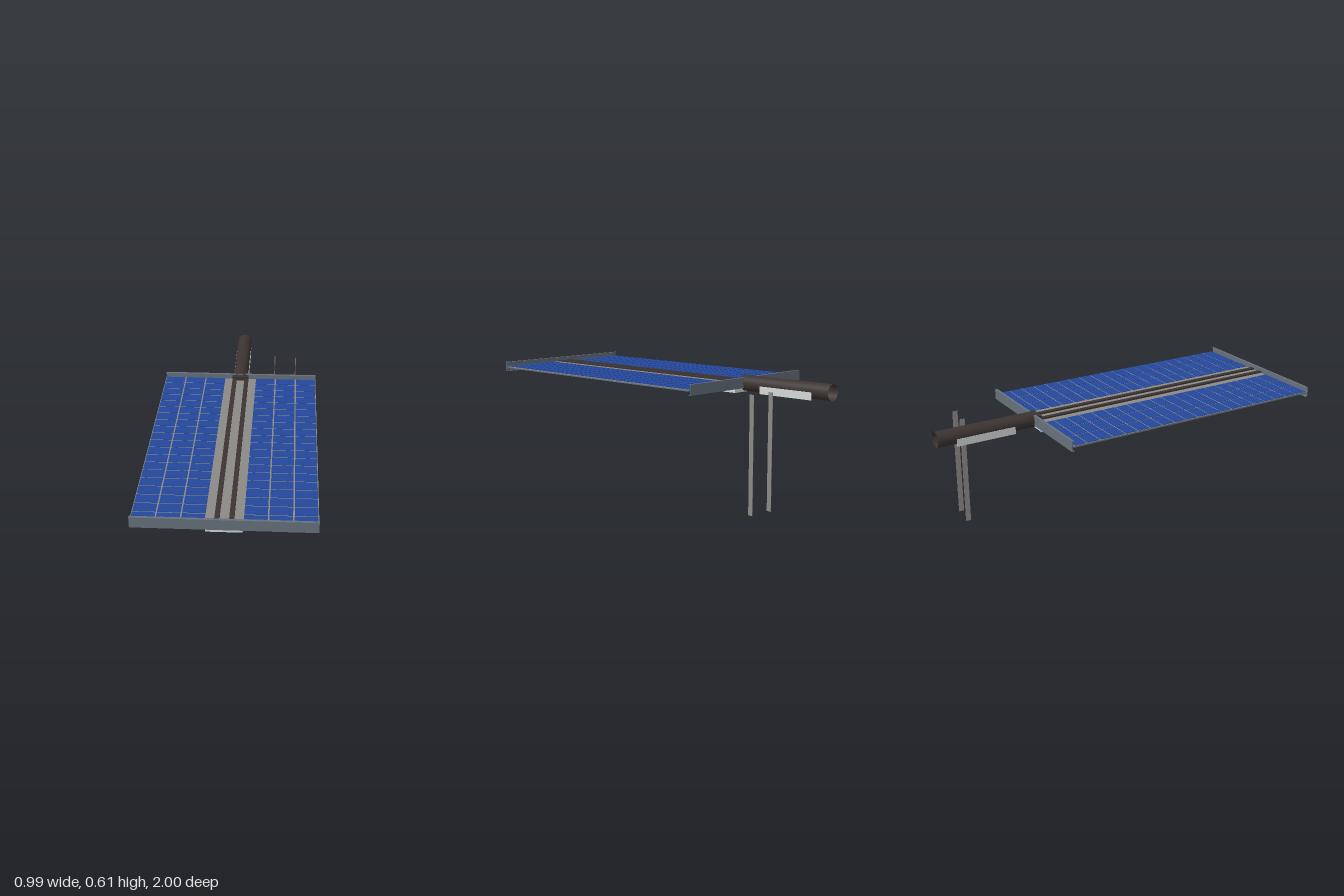
import * as THREE from 'three';

export function createModel() {
  const model = new THREE.Group();
  model.name = 'solarArray';

  const material = (name, color, side = THREE.FrontSide) => {
    const m = new THREE.MeshStandardMaterial({ color, side });
    m.name = name;
    return m;
  };
  const blue = material('cellBlue', 0x23479a);
  const grey = material('spineGrey', 0x8a8986);
  const slate = material('frameSlate', 0x66707c);
  const light = material('sideLightGrey', 0xd4d8d6);
  const dark = material('tubeDarkBrown', 0x3c3432, THREE.DoubleSide);

  const box = (parent, name, mat, size, pos) => {
    const mesh = new THREE.Mesh(new THREE.BoxGeometry(...size), mat);
    mesh.name = name;
    mesh.position.set(...pos);
    parent.add(mesh);
    return mesh;
  };

  // The whole array is turned a little about the vertical
  const array = new THREE.Group();
  array.name = 'panelAssembly';
  array.position.z = 0.225;
  array.rotation.y = 0.104;
  model.add(array);

  const halfW = 0.42, halfL = 0.724, spineHalf = 0.083;
  const innerL = halfL - 0.012;

  // Two wings of cells on a thin backing
  const columns = 3, rows = 20, gap = 0.007;
  const wingW = halfW - spineHalf;
  const cellW = wingW / columns, cellL = (2 * innerL) / rows;
  for (const s of [-1, 1]) {
    const wing = new THREE.Group();
    wing.name = s > 0 ? 'leftWing' : 'rightWing';
    array.add(wing);
    const cx = s * (spineHalf + wingW / 2);
    box(wing, 'wingBacking', slate, [wingW, 0.006, 2 * innerL], [cx, 0.570, 0]);
    box(wing, 'cellGrid', grey, [wingW, 0.003, 2 * innerL], [cx, 0.5745, 0]);
    for (let c = 0; c < columns; c++) {
      for (let r = 0; r < rows; r++) {
        box(wing, 'solarCell', blue, [cellW - gap, 0.002, cellL - gap],
          [s * (spineHalf + (c + 0.5) * cellW), 0.577, -innerL + (r + 0.5) * cellL]);
      }
    }
  }

  // Central spine: light sides, grey top and bottom
  box(array, 'spine', [light, light, grey, grey, light, light],
    [2 * spineHalf, 0.049, 2 * innerL - 0.006], [0, 0.5515, 0]);
  for (const s of [-1, 1]) {
    box(array, 'spineRail', dark, [0.023, 0.008, 2 * innerL], [s * 0.033, 0.58, 0]);
  }

  // End channels with flanges pointing inward
  for (const s of [-1, 1]) {
    const channel = new THREE.Group();
    channel.name = s > 0 ? 'frontChannel' : 'backChannel';
    array.add(channel);
    box(channel, 'channelWeb', slate, [2 * halfW, 0.053, 0.004], [0, 0.5745, s * (halfL - 0.002)]);
    for (const y of [0.5495, 0.5995]) {
      box(channel, 'channelFlange', slate, [2 * halfW, 0.003, 0.012], [0, y, s * (halfL - 0.008)]);
    }
  }

  // Hollow boom tube behind the panel
  const tubeStart = -0.70, tubeEnd = -1.234;
  const tube = new THREE.Mesh(
    new THREE.CylinderGeometry(0.04, 0.04, tubeStart - tubeEnd, 24, 1, true), dark);
  tube.name = 'boomTube';
  tube.rotation.x = Math.PI / 2;
  tube.position.set(0, 0.571, (tubeStart + tubeEnd) / 2);
  array.add(tube);
  box(array, 'boomBracket', dark, [0.09, 0.022, 0.03], [0, 0.587, -0.70]);

  // Light side plates along the lower half of the boom
  for (const s of [-1, 1]) {
    box(array, 'boomSidePlate', light, [0.003, 0.038, 0.31], [s * 0.0395, 0.548, -0.985]);
  }

  // Two thin upright strips beside the boom
  for (const x of [0.08, 0.202]) {
    box(model, 'uprightStrip', grey, [0.002, 0.57, 0.027], [x, 0.285, -0.805]);
  }

  return model;
}
